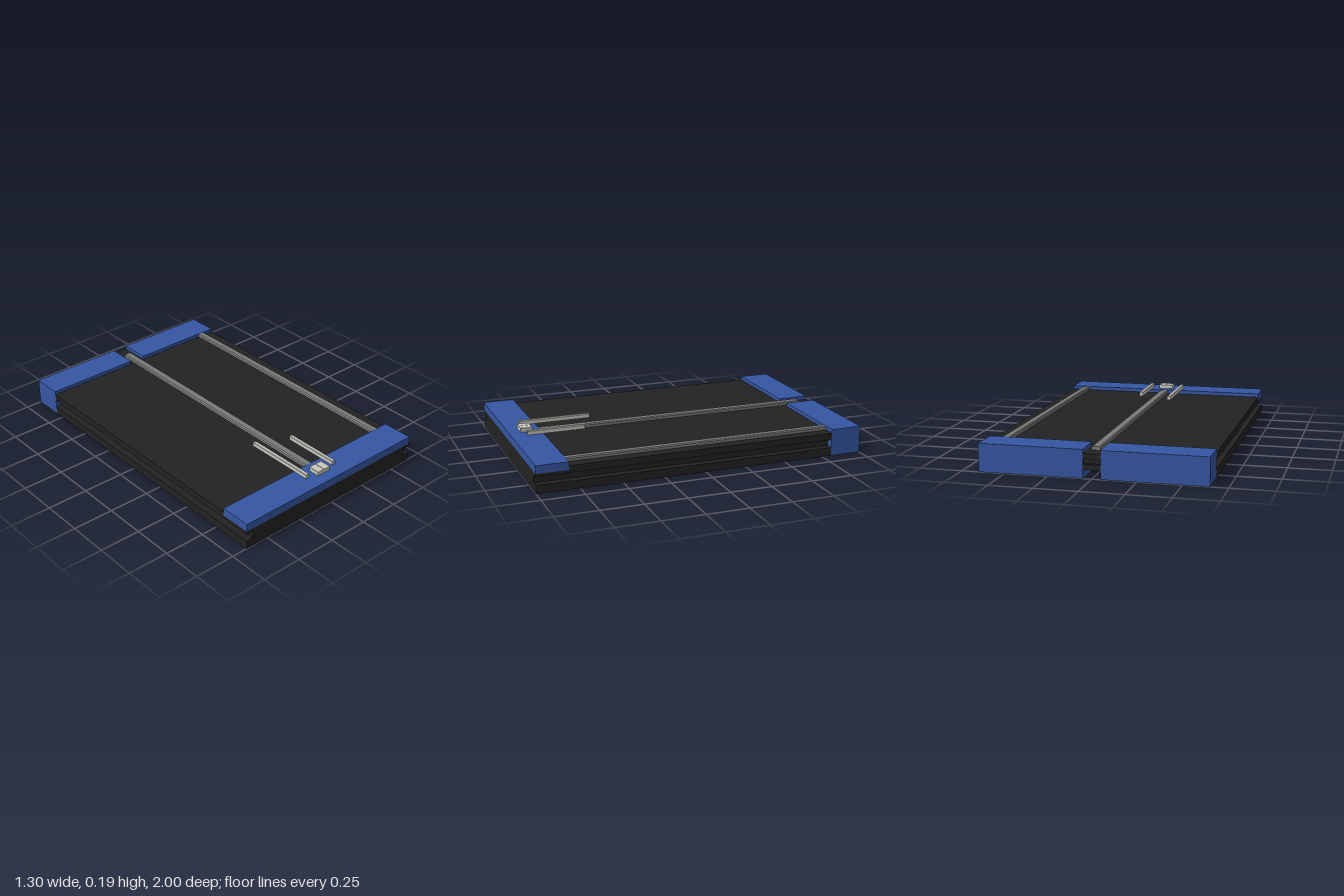
import * as THREE from 'three';

export function createModel() {
  const model = new THREE.Group();
  const mat = (name, color) => {
    const m = new THREE.MeshStandardMaterial({ color });
    m.name = name;
    return m;
  };
  const black = mat('black', 0x222222);
  const blue = mat('blue', 0x3556a2);
  const grey = mat('grey', 0x787a78);
  const silver = mat('silver', 0xc8c8c0);

  const add = (name, geometry, material) => {
    const mesh = new THREE.Mesh(geometry, material);
    mesh.name = name;
    model.add(mesh);
  };
  // Box given by its lower and upper limits
  const box = (name, material, x0, x1, y0, y1, z0, z1) => {
    const g = new THREE.BoxGeometry(x1 - x0, y1 - y0, z1 - z0);
    g.translate((x0 + x1) / 2, (y0 + y1) / 2, (z0 + z1) / 2);
    add(name, g, material);
  };
  // Front outline (x, y) swept from z0 to z1
  const sweep = (name, material, points, z0, z1) => {
    const shape = new THREE.Shape(points.map(([x, y]) => new THREE.Vector2(x, y)));
    const g = new THREE.ExtrudeGeometry(shape, { depth: z1 - z0, bevelEnabled: false });
    g.translate(0, 0, z0);
    add(name, g, material);
  };
  // Bar with chamfered upper edges
  const rail = (name, material, x0, x1, y0, y1, z0, z1, c) => sweep(name, material,
    [[x0, y0], [x1, y0], [x1, y1 - c], [x1 - c, y1], [x0 + c, y1], [x0, y1 - c]], z0, z1);

  // Slab with a groove along both long sides
  const right = [[0.65, 0], [0.65, 0.05], [0.605, 0.05], [0.605, 0.098], [0.65, 0.098], [0.65, 0.115]];
  const left = right.map(([x, y]) => [-x, y]).reverse();
  sweep('body', black, [...right, ...left], -0.81, 1);
  box('topPlate', black, -0.65, 0.65, 0.115, 0.14, -0.81, 0.81);

  // Blue end pieces
  box('frontBar', blue, -0.65, 0.65, 0.115, 0.163, 0.81, 1);
  for (const s of [-1, 1]) {
    const x = s * 0.35;
    box('backBlock', blue, x - 0.3, x + 0.3, 0, 0.163, -1, -0.81);
  }

  // Stepped connector between the back blocks
  box('connector', black, -0.05, 0.05, 0.05, 0.14, -0.98, -0.81);
  box('connectorUpperLip', black, -0.05, 0.05, 0.11, 0.14, -1, -0.98);
  box('connectorLowerLip', black, -0.05, 0.05, 0.05, 0.08, -1, -0.98);

  // Long grey strips on the top plate
  rail('centreStrip', grey, -0.025, 0.025, 0.14, 0.162, -0.91, 0.81, 0.006);
  rail('sideStrip', grey, 0.535, 0.58, 0.14, 0.162, -0.81, 0.81, 0.006);

  // Silver pointers and the pair of small blocks between them
  rail('longPointer', silver, -0.118, -0.094, 0.163, 0.188, 0.465, 0.905, 0.003);
  rail('shortPointer', silver, 0.09, 0.114, 0.163, 0.188, 0.555, 0.905, 0.003);
  rail('smallBlock', silver, -0.047, 0, 0.163, 0.188, 0.86, 0.93, 0.002);
  rail('smallBlock', silver, 0, 0.047, 0.163, 0.188, 0.86, 0.93, 0.002);

  return model;
}
